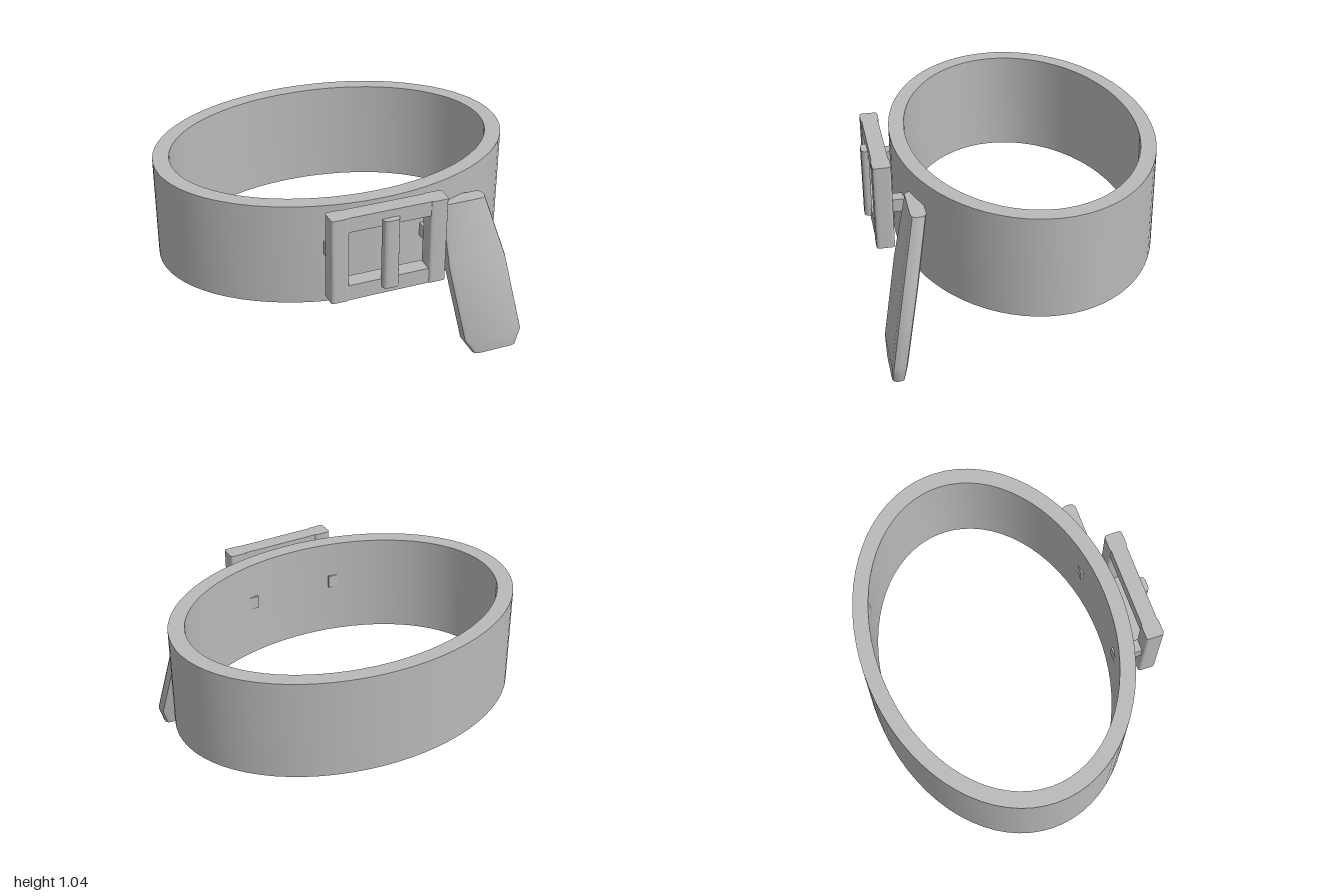
import * as THREE from 'three';
import { toCreasedNormals } from 'three/addons/utils/BufferGeometryUtils.js';

const metal = new THREE.MeshStandardMaterial({ color: 0xb9b9b9 });
metal.name = 'plain grey';

function addPart(group, name, geometry) {
  const mesh = new THREE.Mesh(geometry, metal);
  mesh.name = name;
  group.add(mesh);
  return mesh;
}

// Extrudes an outline drawn in (x, z) upward from y0 to y1
function upright(shape, y0, y1, curveSegments = 6) {
  const g = new THREE.ExtrudeGeometry(shape, { depth: y1 - y0, bevelEnabled: false, curveSegments });
  g.rotateX(-Math.PI / 2); // shape y becomes -z
  g.translate(0, y0, 0);
  return g;
}

function box(x0, x1, y0, y1, z0, z1) {
  return new THREE.BoxGeometry(x1 - x0, y1 - y0, z1 - z0)
    .translate((x0 + x1) / 2, (y0 + y1) / 2, (z0 + z1) / 2);
}

function roundedRect(x0, x1, z0, z1, r) {
  const s = new THREE.Shape();
  const b = -z1, t = -z0;
  s.moveTo(x0 + r, b);
  s.lineTo(x1 - r, b).quadraticCurveTo(x1, b, x1, b + r);
  s.lineTo(x1, t - r).quadraticCurveTo(x1, t, x1 - r, t);
  s.lineTo(x0 + r, t).quadraticCurveTo(x0, t, x0, t - r);
  s.lineTo(x0, b + r).quadraticCurveTo(x0, b, x0 + r, b);
  return s;
}

// Hanging strap end: rounded cross-sections [y, left, right, back, front]
function strapEnd() {
  const sections = [
    [0, 0.53, 0.795, 0.705, 0.775],
    [0.1, 0.465, 0.825, 0.69, 0.775],
    [0.55, 0.385, 0.74, 0.605, 0.695],
    [0.91, 0.36, 0.63, 0.535, 0.62],
  ];
  const corner = 3, n = corner * 4;
  const pos = [], idx = [];
  for (const [y, x0, x1, z0, z1] of sections) {
    const rx = 0.03, rz = (z1 - z0) * 0.35;
    for (let c = 0; c < 4; c++) {
      const right = c === 0 || c === 3, front = c < 2;
      for (let k = 0; k < corner; k++) {
        const a = (c + k / (corner - 1)) * Math.PI / 2;
        pos.push(
          (right ? x1 - rx : x0 + rx) + rx * Math.cos(a), y,
          (front ? z1 - rz : z0 + rz) + rz * Math.sin(a));
      }
    }
  }
  const last = (sections.length - 1) * n;
  for (let s = 0; s < last; s += n) {
    for (let i = 0; i < n; i++) {
      const a = s + i, b = s + (i + 1) % n;
      idx.push(a, a + n, b, b, a + n, b + n);
    }
  }
  for (let i = 1; i < n - 1; i++) {
    idx.push(0, i, i + 1, last, last + i + 1, last + i);
  }
  const g = new THREE.BufferGeometry();
  g.setAttribute('position', new THREE.Float32BufferAttribute(pos, 3));
  g.setIndex(idx);
  return toCreasedNormals(g, 0.6);
}

export function createModel() {
  const model = new THREE.Group();
  model.name = 'belt';

  // Oval band
  const oval = new THREE.Shape().absellipse(0, 0.085, 1, 0.725, 0, Math.PI * 2);
  oval.holes.push(new THREE.Path().absellipse(0, 0.085, 0.91, 0.64, 0, Math.PI * 2));
  addPart(model, 'band', toCreasedNormals(upright(oval, 0.46, 1.045, 36), 0.5));

  // Square buckle frame with its centre prong and rear posts
  const buckle = new THREE.Group();
  buckle.name = 'buckle';
  model.add(buckle);
  for (const side of [-1, 1]) {
    const a = side * 0.225, b = side * 0.325;
    addPart(buckle, 'frameSide', toCreasedNormals(
      upright(roundedRect(Math.min(a, b), Math.max(a, b), 0.675, 0.775, 0.018), 0.55, 1.045), 0.6));
    const p = side * 0.235, q = side * 0.305;
    addPart(buckle, 'post', box(Math.min(p, q), Math.max(p, q), 0.76, 0.835, 0.52, 0.69));
  }
  addPart(buckle, 'frameTop', box(-0.24, 0.24, 0.96, 1.045, 0.68, 0.77));
  addPart(buckle, 'frameBottom', box(-0.24, 0.24, 0.55, 0.64, 0.68, 0.77));

  const prong = new THREE.Shape();
  prong.moveTo(-0.045, -0.765);
  prong.lineTo(-0.045, -0.785);
  prong.quadraticCurveTo(-0.04, -0.805, -0.02, -0.805);
  prong.lineTo(0.02, -0.805);
  prong.quadraticCurveTo(0.04, -0.805, 0.045, -0.785);
  prong.lineTo(0.045, -0.765);
  addPart(buckle, 'prong', toCreasedNormals(upright(prong, 0.595, 1.0), 0.6));

  addPart(model, 'strapEnd', strapEnd());
  return model;
}
